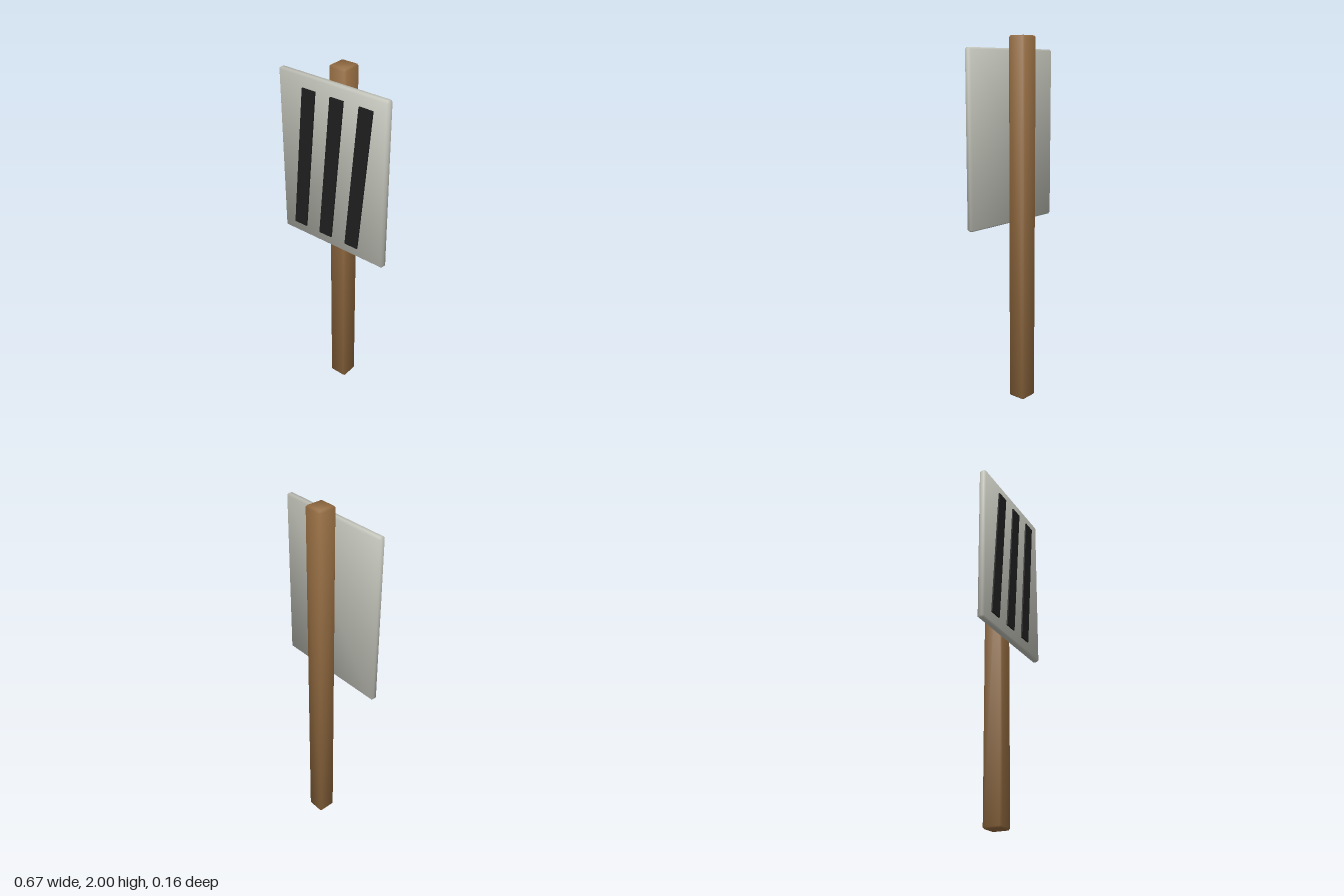
import * as THREE from 'three';

const wood = new THREE.MeshStandardMaterial({ name: 'wood', color: 0x936b40 });
const panelGrey = new THREE.MeshStandardMaterial({ name: 'panelGrey', color: 0xc1c2b8 });
const stripeBlack = new THREE.MeshStandardMaterial({ name: 'stripeBlack', color: 0x1f1f1f });

// Box with chamfered edges and soft normals: each corner has one vertex per face.
function chamferBox(w, h, d, c) {
  const half = [w / 2, h / 2, d / 2];
  const positions = [], normals = [], index = [];
  const id = (s, axis) => ((s[0] > 0) * 4 + (s[1] > 0) * 2 + (s[2] > 0)) * 3 + axis;
  const corners = [];
  for (const x of [-1, 1]) for (const y of [-1, 1]) for (const z of [-1, 1]) corners.push([x, y, z]);
  for (const s of corners) {
    for (let axis = 0; axis < 3; axis++) {
      positions.push(...s.map((v, i) => v * (half[i] - (i === axis ? 0 : c))));
      normals.push(...new THREE.Vector3(...s.map((v, i) => v * (i === axis ? 1 : 0.39))).normalize());
    }
  }
  const at = (i) => new THREE.Vector3().fromArray(positions, i * 3);
  // Adds a triangle, turned to face outwards.
  const tri = (a, b, e) => {
    const n = at(b).sub(at(a)).cross(at(e).sub(at(a)));
    index.push(...(n.dot(at(a)) > 0 ? [a, b, e] : [a, e, b]));
  };
  const quad = (a, b, e, f) => { tri(a, b, e); tri(a, e, f); };
  for (const s of corners) tri(id(s, 0), id(s, 1), id(s, 2));
  for (let a = 0; a < 3; a++) {
    const b = (a + 1) % 3, e = (a + 2) % 3;
    const sign = (sa, sb, se) => { const s = []; s[a] = sa; s[b] = sb; s[e] = se; return s; };
    for (const p of [-1, 1]) {
      // Flat face across axis a
      quad(id(sign(p, -1, -1), a), id(sign(p, 1, -1), a), id(sign(p, 1, 1), a), id(sign(p, -1, 1), a));
      // Chamfers between axes a and b
      for (const q of [-1, 1]) {
        const lo = sign(p, q, -1), hi = sign(p, q, 1);
        quad(id(lo, a), id(lo, b), id(hi, b), id(hi, a));
      }
    }
  }
  const geometry = new THREE.BufferGeometry();
  geometry.setAttribute('position', new THREE.Float32BufferAttribute(positions, 3));
  geometry.setAttribute('normal', new THREE.Float32BufferAttribute(normals, 3));
  geometry.setIndex(index);
  return geometry;
}

export function createModel() {
  const group = new THREE.Group();
  group.name = 'signPost';
  const add = (name, geometry, material, x, y, z) => {
    const mesh = new THREE.Mesh(geometry, material);
    mesh.name = name;
    mesh.position.set(x, y, z);
    group.add(mesh);
  };

  // Wooden post behind the panel
  add('post', chamferBox(0.106, 2, 0.106, 0.009), wood, 0, 1, -0.029);

  // Panel standing just clear of the post
  add('panel', chamferBox(0.666, 0.932, 0.04, 0.01), panelGrey, 0, 1.47, 0.051);

  // Three slanted stripes on the front
  const slant = new THREE.Shape([
    new THREE.Vector2(-0.08, -0.402), new THREE.Vector2(0.001, -0.402),
    new THREE.Vector2(0.08, 0.402), new THREE.Vector2(-0.001, 0.402),
  ]);
  const stripe = new THREE.ExtrudeGeometry(slant, { depth: 0.008, bevelEnabled: false });
  ['rightStripe', 'middleStripe', 'leftStripe'].forEach((name, i) => {
    add(name, stripe, stripeBlack, (i - 1) * 0.173, 1.468, 0.0715);
  });

  return group;
}
